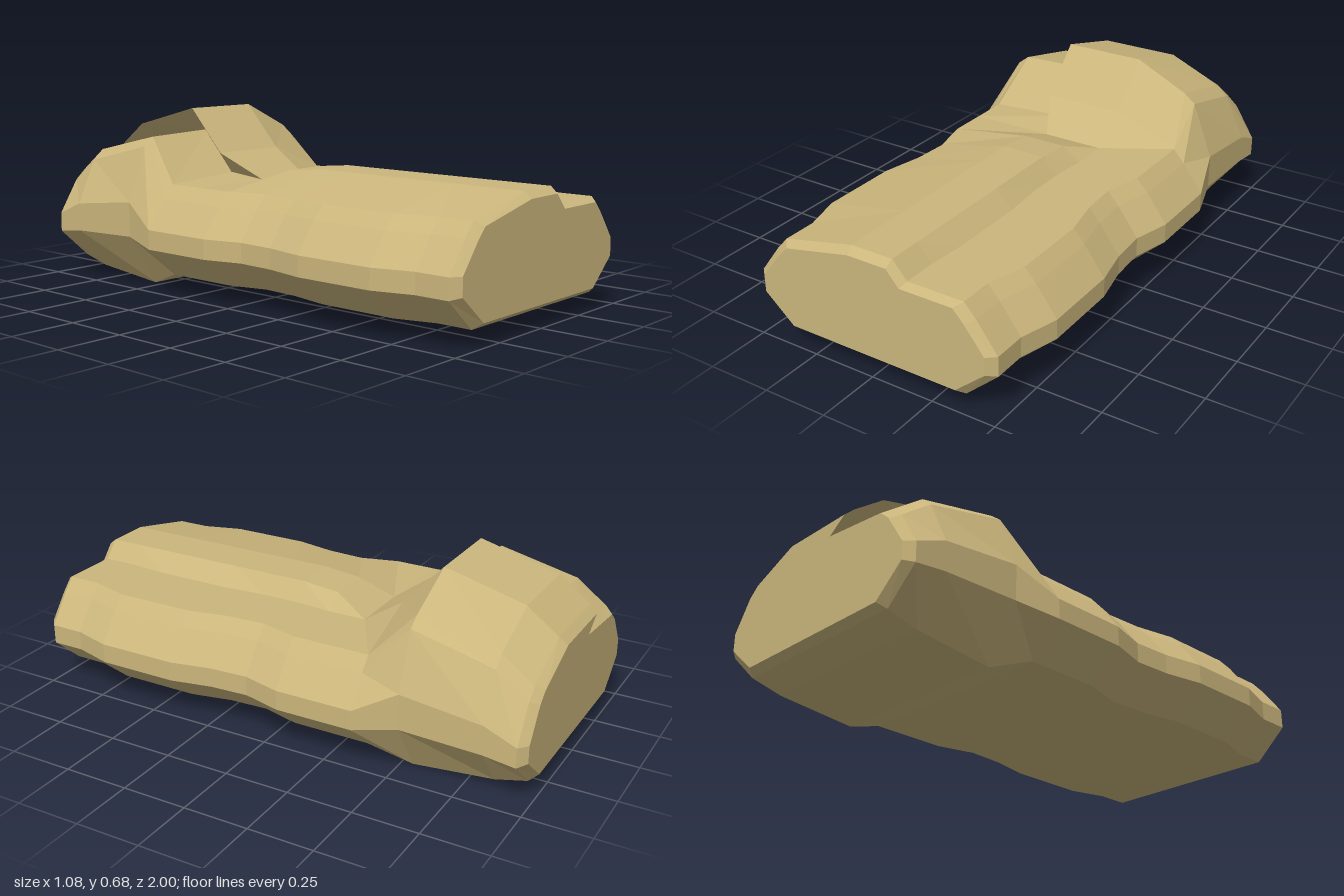
import * as THREE from 'three';

const material = new THREE.MeshStandardMaterial({ color: 0xcbb67c, flatShading: true });

// Ring of 13 points, counter-clockwise seen from the front.
// half: half width, y: [bottom, low side, high side, bevel, shoulder], fold: three points of the overlap
function section(z, half, y, fold, inset = false) {
  const flat = half - 0.127, bevel = flat + 0.045;
  const right = [[flat, y[0]], [half, y[1]], [half, y[2]], [bevel, y[3]], [flat, y[4]]];
  const left = right.map(([px, py]) => [-px, py]).reverse();
  const ring = [...right, ...fold, ...left];
  return ring.map(([px, py]) => inset
    ? new THREE.Vector3(px * 0.935, 0.26 + (py - 0.26) * 0.89, z)
    : new THREE.Vector3(px, py, z));
}

// Skin between successive rings
function loft(name, rings) {
  const pos = [];
  for (let s = 0; s < rings.length - 1; s++) {
    const n = rings[s].length;
    for (let i = 0; i < n; i++) {
      const j = (i + 1) % n;
      const a = rings[s][i], b = rings[s][j], c = rings[s + 1][i], d = rings[s + 1][j];
      for (const p of [a, c, b, b, c, d]) pos.push(p.x, p.y, p.z);
    }
  }
  return makeMesh(name, pos);
}

// Flat end closing a ring
function endCap(name, ring, facesBack) {
  const pos = [];
  const outline = ring.map((p) => new THREE.Vector2(p.x, p.y));
  for (const tri of THREE.ShapeUtils.triangulateShape(outline, [])) {
    const order = facesBack ? [tri[2], tri[1], tri[0]] : tri;
    for (const k of order) pos.push(ring[k].x, ring[k].y, ring[k].z);
  }
  return makeMesh(name, pos);
}

function makeMesh(name, pos) {
  const geometry = new THREE.BufferGeometry();
  geometry.setAttribute('position', new THREE.Float32BufferAttribute(pos, 3));
  geometry.computeVertexNormals();
  const mesh = new THREE.Mesh(geometry, material);
  mesh.name = name;
  return mesh;
}

export function createModel() {
  const group = new THREE.Group();
  group.name = 'sleepingBag';

  // Long body: left layer steps down onto the right one, sides pinch in twice
  const bodyY = [0.06, 0.175, 0.25, 0.36, 0.41];
  const step = (top, x = 0.16) => [[x, 0.41], [0.09, top], [-0.08, top]];
  const bodyRings = [
    section(1, 0.497, bodyY, step(0.475, 0.145), true),
    ...[[0.97, 0.497], [0.84, 0.497], [0.69, 0.54], [0.38, 0.54], [0.22, 0.508], [0.07, 0.5]]
      .map(([z, half]) => section(z, half, bodyY, step(0.475, half > 0.52 ? 0.16 : 0.147))),
    section(-0.08, 0.54, bodyY, step(0.46)),
    section(-0.23, 0.54, bodyY, step(0.41)),
    section(-0.38, 0.54, bodyY, [[0.16, 0.51], [-0.16, 0.51], [-0.1, 0.43]]),
  ];

  // Raised head end: the right flap overhangs the left layer
  const flap = (top, under) => [[0.16, top], [-0.16, top], [-0.08, under]];
  const headY = [0.06, 0.175, 0.25, 0.38, 0.42];
  const headRings = [
    bodyRings[bodyRings.length - 1],
    section(-0.54, 0.497, [0, 0.2, 0.335, 0.545, 0.58], flap(0.68, 0.59)),
    section(-0.85, 0.497, [0.03, 0.19, 0.3, 0.47, 0.51], flap(0.6, 0.53)),
    section(-0.97, 0.497, headY, flap(0.51, 0.45)),
    section(-1, 0.497, headY, flap(0.51, 0.45), true),
  ];

  group.add(
    loft('bagBody', bodyRings),
    loft('headFold', headRings),
    endCap('footEnd', bodyRings[0], false),
    endCap('headEnd', headRings[headRings.length - 1], true),
  );
  return group;
}
